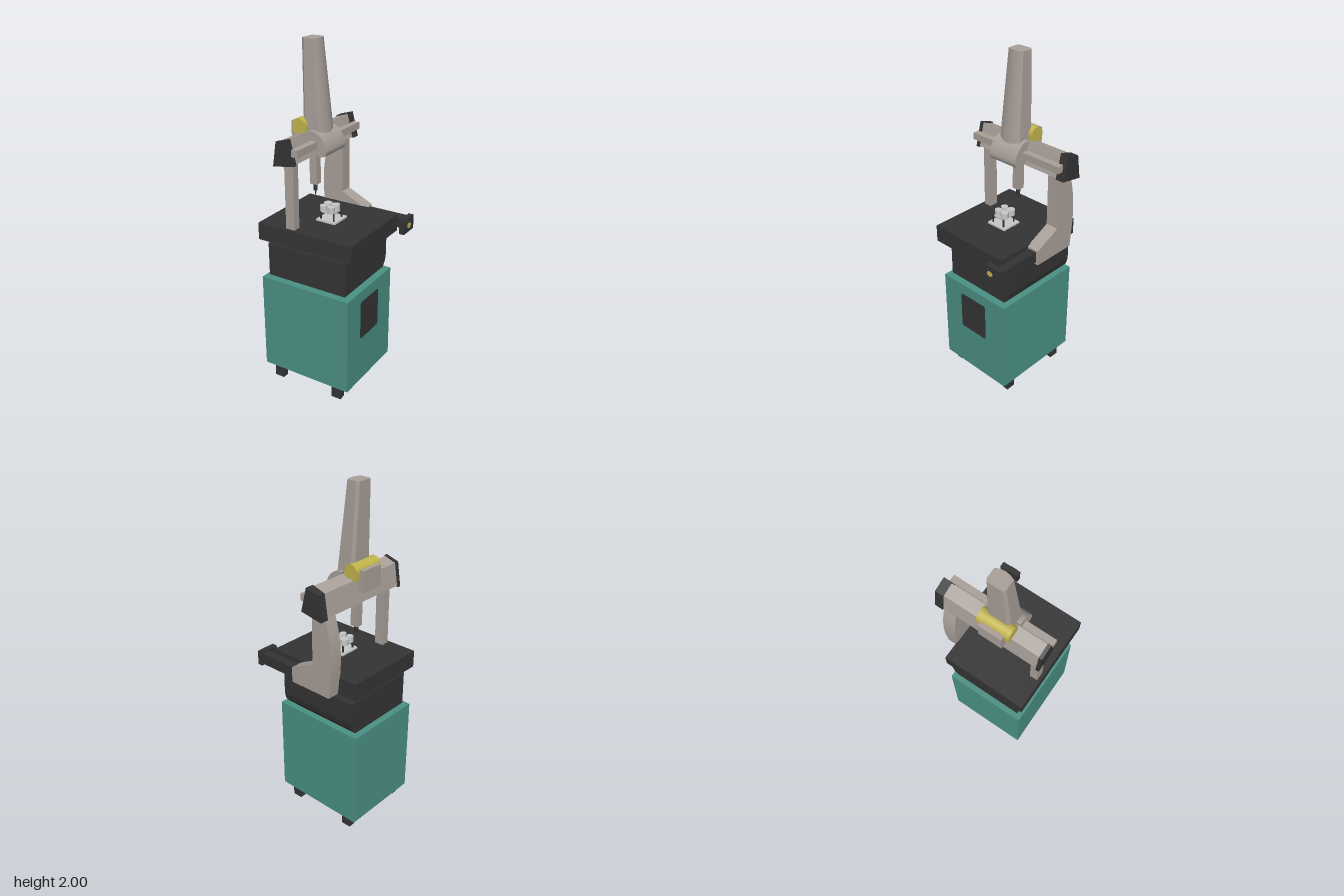
import * as THREE from 'three';
import { toCreasedNormals } from 'three/addons/utils/BufferGeometryUtils.js';

const paint = (name, color) => {
  const m = new THREE.MeshStandardMaterial({ color });
  m.name = name;
  return m;
};

export function createModel() {
  const teal = paint('teal', 0x4a9084);
  const dark = paint('charcoal', 0x343434);
  const grey = paint('warm grey', 0xa89f98);
  const yellow = paint('yellow', 0xc2b44c);
  const light = paint('light grey', 0xc6c8c8);
  const root = new THREE.Group();
  root.name = 'measuringMachine';

  const add = (name, geometry, material, x = 0, y = 0, z = 0) => {
    const mesh = new THREE.Mesh(geometry, material);
    mesh.name = name;
    mesh.position.set(x, y, z);
    root.add(mesh);
    return mesh;
  };
  // box given by its limits on each axis
  const box = (name, mat, x0, x1, y0, y1, z0, z1) => add(name,
    new THREE.BoxGeometry(x1 - x0, y1 - y0, z1 - z0), mat,
    (x0 + x1) / 2, (y0 + y1) / 2, (z0 + z1) / 2);
  // x-y outline pulled along z
  const prism = (name, mat, shape, z0, z1) => add(name, toCreasedNormals(
    new THREE.ExtrudeGeometry(shape, { depth: z1 - z0, bevelEnabled: false, curveSegments: 12 }), 0.6),
    mat, 0, 0, z0);
  const poly = (pts) => new THREE.Shape(pts.map(([x, y]) => new THREE.Vector2(x, y)));

  // cabinet on four feet
  box('cabinet', teal, -0.34, 0.23, 0.08, 0.665, -0.19, 0.295);
  for (const x of [-0.255, 0.145])
    for (const z of [-0.145, 0.26])
      box('foot', dark, x - 0.03, x + 0.03, 0, 0.08, z - 0.02, z + 0.02);

  // rounded vent panel on the left side
  const vent = new THREE.Shape();
  const w = 0.0975, h = 0.118, r = 0.015;
  vent.moveTo(-w + r, -h);
  vent.lineTo(w - r, -h).quadraticCurveTo(w, -h, w, -h + r);
  vent.lineTo(w, h - r).quadraticCurveTo(w, h, w - r, h);
  vent.lineTo(-w + r, h).quadraticCurveTo(-w, h, -w, h - r);
  vent.lineTo(-w, -h + r).quadraticCurveTo(-w, -h, -w + r, -h);
  add('ventPanel', new THREE.ExtrudeGeometry(vent, { depth: 0.004, bevelEnabled: false })
    .rotateY(Math.PI / 2), dark, 0.229, 0.48, 0.0575);

  // base block with chamfered rear bottom edge, outline in (-z, y)
  add('baseBlock', new THREE.ExtrudeGeometry(
    poly([[-0.265, 0.675], [0.16, 0.675], [0.185, 0.705], [0.195, 0.745], [0.195, 0.875], [-0.265, 0.875]]),
    { depth: 0.505, bevelEnabled: false }).rotateY(Math.PI / 2), dark, -0.31, 0, 0);
  box('baseSeat', dark, -0.29, 0.18, 0.66, 0.68, -0.14, 0.25);
  box('tableNeck', dark, -0.28, 0.165, 0.87, 0.915, -0.115, 0.17);
  box('table', dark, -0.34, 0.26, 0.91, 1.01, -0.2, 0.31);

  // drive arm behind the table with its end box and button
  box('driveArm', dark, 0.04, 0.31, 0.925, 0.99, -0.26, -0.21);
  box('driveEndBox', dark, 0.297, 0.329, 0.915, 1.0, -0.267, -0.15);
  box('buttonMount', dark, 0.328, 0.337, 0.94, 0.985, -0.215, -0.172);
  const button = add('button', new THREE.CylinderGeometry(0.02, 0.02, 0.004, 20).rotateZ(Math.PI / 2),
    yellow, 0.338, 0.962, -0.193);
  button.scale.set(1, 0.75, 1);

  // rear column with a curved back and a sloping toe
  const column = new THREE.Shape();
  column.moveTo(-0.22, 0.91);
  column.lineTo(0.05, 0.91).lineTo(0.05, 1.0).lineTo(-0.075, 1.06).lineTo(-0.105, 1.075);
  column.lineTo(-0.105, 1.4).lineTo(-0.185, 1.4);
  column.bezierCurveTo(-0.225, 1.29, -0.245, 1.18, -0.232, 1.03);
  column.lineTo(-0.22, 0.91);
  prism('rearColumn', grey, column, -0.273, -0.196);
  box('frontColumn', grey, -0.163, -0.108, 1.01, 1.4, 0.245, 0.292);

  // tilted cross beam, end caps and guide rail
  prism('beam', grey, poly([[-0.207, 1.372], [-0.085, 1.392], [-0.097, 1.435], [-0.112, 1.437],
    [-0.119, 1.468], [-0.104, 1.472], [-0.117, 1.523], [-0.187, 1.5]]), -0.275, 0.305);
  const cap = [[-0.214, 1.365], [-0.077, 1.388], [-0.113, 1.528], [-0.192, 1.504]];
  prism('frontEndCap', dark, poly(cap), 0.3, 0.32);
  prism('rearEndCap', dark, poly(cap), -0.32, -0.27);
  box('guideRail', grey, -0.095, -0.057, 1.437, 1.477, -0.302, 0.32);
  box('railWeb', grey, -0.118, -0.09, 1.445, 1.465, -0.295, 0.3);

  // carriage riding on the beam
  const carriage = new THREE.Shape();
  carriage.moveTo(-0.108, 1.528);
  carriage.lineTo(-0.08, 1.405).lineTo(-0.045, 1.396);
  carriage.bezierCurveTo(-0.01, 1.39, 0.004, 1.41, -0.003, 1.44);
  carriage.bezierCurveTo(-0.015, 1.49, -0.05, 1.535, -0.108, 1.528);
  prism('carriage', grey, carriage, -0.053, 0.138);
  const cover = new THREE.Shape();
  cover.moveTo(-0.212, 1.5);
  cover.lineTo(-0.13, 1.515).lineTo(-0.13, 1.545);
  cover.absarc(-0.172, 1.545, 0.042, 0, Math.PI, false);
  cover.lineTo(-0.212, 1.5);
  prism('carriageCover', yellow, cover, -0.053, 0.138);
  box('carriageBackPlate', grey, -0.238, -0.205, 1.44, 1.56, -0.027, 0.112);

  // tapered tower: one chamfered, round-fronted section lofted between two sizes
  const section = (y, back, shoulder, front, bulge, half) => {
    const zc = 0.043, pts = [[back, -half * 0.8], [back, half * 0.8], [back + 0.015, half], [shoulder, half]];
    for (let i = 1; i < 10; i++) {
      const t = 1 - i / 5;
      pts.push([front + bulge * (1 - t * t), half * t]);
    }
    pts.push([shoulder, -half], [back + 0.015, -half]);
    return pts.map(([x, z]) => new THREE.Vector3(x, y, zc + z));
  };
  const low = section(1.45, -0.163, -0.055, -0.055, 0.02, 0.074);
  const high = section(2.0, -0.177, -0.105, -0.105, 0.013, 0.051);
  const verts = [];
  const tri = (...p) => p.forEach((v) => verts.push(v.x, v.y, v.z));
  low.forEach((a, i) => {
    const j = (i + 1) % low.length;
    tri(a, low[j], high[j]);
    tri(a, high[j], high[i]);
    if (i > 0 && j > 0) {
      tri(high[0], high[i], high[j]);
      tri(low[0], low[j], low[i]);
    }
  });
  const tower = new THREE.BufferGeometry();
  tower.setAttribute('position', new THREE.Float32BufferAttribute(verts, 3));
  add('tower', toCreasedNormals(tower, 0.4), grey);

  // vertical ram with probe
  box('ram', grey, -0.155, -0.111, 1.2, 1.4, 0.024, 0.068);
  add('probeHead', new THREE.CylinderGeometry(0.013, 0.011, 0.04, 16), dark, -0.133, 1.18, 0.046);
  add('probeStylus', new THREE.CylinderGeometry(0.006, 0.002, 0.03, 12), dark, -0.133, 1.146, 0.046);

  // workpiece on a small fixture plate
  box('fixturePlate', light, -0.085, 0.04, 1.01, 1.02, -0.01, 0.118);
  for (const x of [-0.065, 0.019])
    for (const z of [0.015, 0.097])
      add('fixturePost', new THREE.CylinderGeometry(0.005, 0.005, 0.045, 10), dark, x, 1.042, z);
  box('workpieceBody', light, -0.07, 0.015, 1.055, 1.067, 0.02, 0.092);
  for (const x of [-0.058, -0.008])
    for (const [z, rad] of [[0.033, 0.024], [0.081, 0.02]])
      add('workpieceBoss', new THREE.CylinderGeometry(rad, rad, 0.036, 24), light, x, 1.078, z);

  return root;
}
